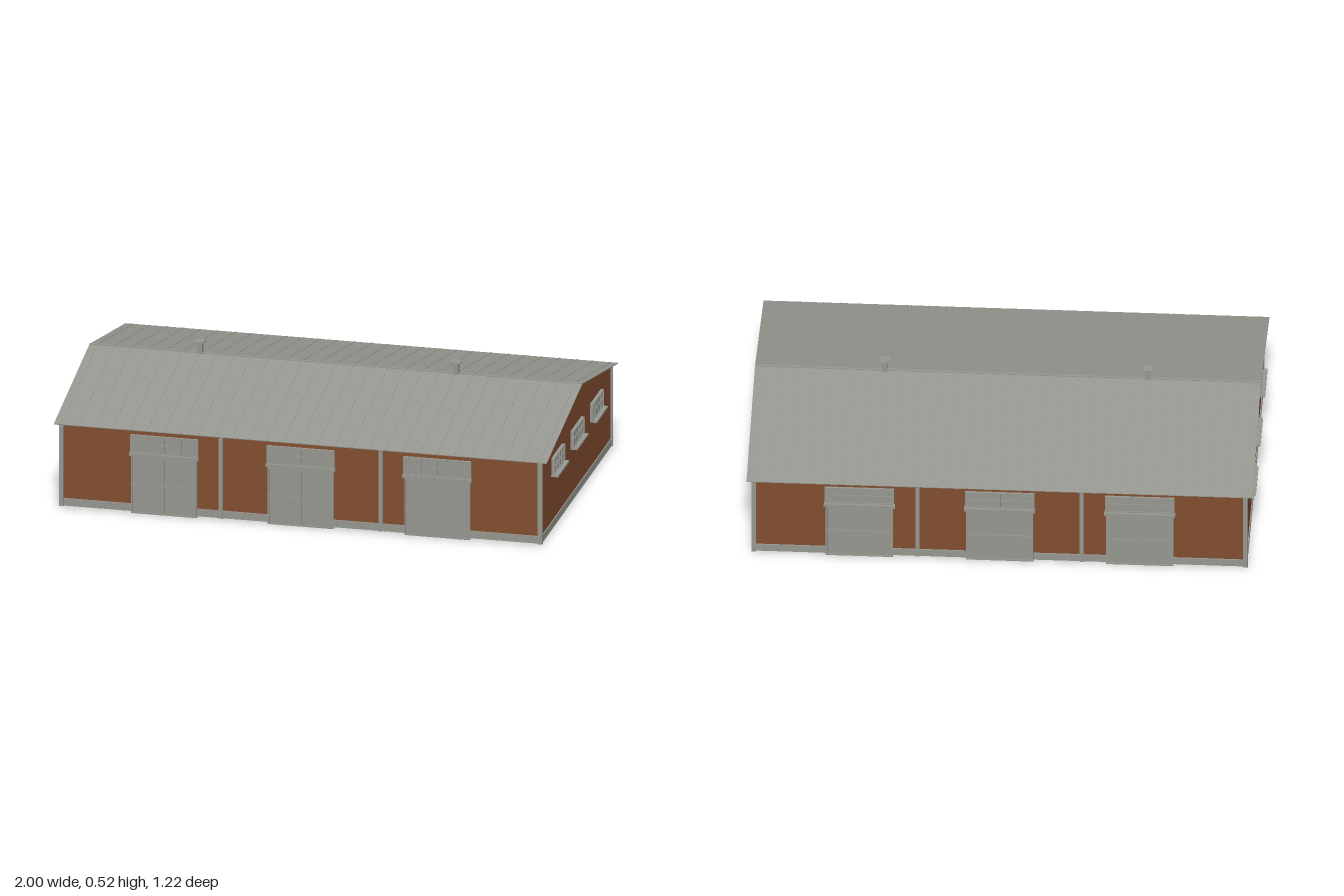
import * as THREE from 'three';

const grey = new THREE.MeshStandardMaterial({ color: 0x969790 });
grey.name = 'light grey concrete and metal';
const brick = new THREE.MeshStandardMaterial({ color: 0x824d30 });
brick.name = 'brown brick';

const HALF_X = 0.97, HALF_Z = 0.59, BASE = 0.006;
const EAVE = 0.348, RIDGE = 0.472, ROOF_X = 0.996, ROOF_Z = 0.605;

function box(parent, name, w, h, d, x, y, z, mat = grey) {
  const mesh = new THREE.Mesh(new THREE.BoxGeometry(w, h, d), mat);
  mesh.name = name;
  mesh.position.set(x, y, z);
  parent.add(mesh);
  return mesh;
}

// Framed panel facing +z with its back at z = 0, split into panes by bars
function framedPanel(name, w, h, cols, rows, depth, bar) {
  const g = new THREE.Group();
  g.name = name;
  box(g, 'panes', w, h, depth * 0.6, 0, 0, depth * 0.3);
  for (let i = 0; i <= cols; i++)
    box(g, 'upright', bar, h, depth, -w / 2 + bar / 2 + (i * (w - bar)) / cols, 0, depth / 2);
  for (let j = 0; j <= rows; j++)
    box(g, 'crossbar', w, bar, depth, 0, -h / 2 + bar / 2 + (j * (h - bar)) / rows, depth / 2);
  return g;
}

// Double gate with a sliding rail and a window band above
function gate(x) {
  const g = new THREE.Group();
  g.name = 'gate';
  g.position.set(x, 0, HALF_Z);
  const leaves = framedPanel('doorLeaves', 0.265, 0.238, 2, 2, 0.01, 0.006);
  leaves.position.y = 0.119;
  const transom = framedPanel('transomWindow', 0.274, 0.074, 4, 2, 0.009, 0.005);
  transom.position.y = 0.289;
  g.add(leaves, transom);
  box(g, 'doorRail', 0.28, 0.012, 0.018, 0, 0.246, 0.009);
  return g;
}

// Long wall: gates, pilasters and plinth strips between the gates
function longSide() {
  const g = new THREE.Group();
  g.name = 'longSide';
  const gates = [-0.552, 0, 0.552];
  gates.forEach(x => g.add(gate(x)));
  for (const x of [-0.323, 0.323])
    box(g, 'pilaster', 0.016, 0.336, 0.012, x, BASE + 0.168, HALF_Z + 0.004);
  const ends = [-HALF_X, ...gates.flatMap(x => [x - 0.133, x + 0.133]), HALF_X];
  for (let i = 0; i < ends.length; i += 2)
    box(g, 'plinth', ends[i + 1] - ends[i], 0.03, 0.008,
      (ends[i] + ends[i + 1]) / 2, BASE + 0.016, HALF_Z + 0.002);
  return g;
}

// Gable wall details, built facing +z and turned to the side
function gableSide() {
  const g = new THREE.Group();
  g.name = 'gableSide';
  for (const x of [-0.327, 0, 0.327]) {
    const win = framedPanel('sideWindow', 0.18, 0.074, 4, 2, 0.014, 0.005);
    win.position.set(x, 0.265, HALF_X);
    box(win, 'sill', 0.186, 0.007, 0.029, 0, -0.036, 0.0145);
    g.add(win);
  }
  box(g, 'plinth', HALF_Z * 2, 0.03, 0.008, 0, BASE + 0.016, HALF_X);
  return g;
}

export function createModel() {
  const model = new THREE.Group();
  model.name = 'warehouse';

  // Brick body: gable outline extruded along x
  const outline = new THREE.Shape([
    [-HALF_Z, BASE], [HALF_Z, BASE], [HALF_Z, 0.344], [0, 0.464], [-HALF_Z, 0.344],
  ].map(p => new THREE.Vector2(...p)));
  const bodyGeo = new THREE.ExtrudeGeometry(outline, { depth: HALF_X * 2, bevelEnabled: false });
  bodyGeo.translate(0, 0, -HALF_X).rotateY(Math.PI / 2);
  const body = new THREE.Mesh(bodyGeo, brick);
  body.name = 'brickWalls';
  model.add(body);

  // Details on all four sides
  for (const turn of [0, Math.PI]) {
    const long = longSide();
    long.rotation.y = turn;
    const gable = gableSide();
    gable.rotation.y = turn + Math.PI / 2;
    model.add(long, gable);
  }

  // Corner pilasters
  for (const sx of [-1, 1]) for (const sz of [-1, 1])
    box(model, 'cornerPilaster', 0.018, 0.336, 0.016, sx * 0.968, BASE + 0.167, sz * 0.592);

  // Roof: two thin sheets with standing seams
  const rise = RIDGE - EAVE;
  const slope = Math.hypot(ROOF_Z, rise);
  for (const s of [1, -1]) {
    const sheet = new THREE.Group();
    sheet.name = 'roofSlope';
    sheet.position.set(0, (EAVE + RIDGE) / 2, (s * ROOF_Z) / 2);
    sheet.rotation.x = s * Math.atan2(rise, ROOF_Z);
    box(sheet, 'roofSheet', ROOF_X * 2, 0.003, slope, 0, -0.0015, 0);
    for (let i = -14; i <= 14; i++)
      box(sheet, 'roofSeam', 0.004, 0.002, slope, i * 0.069, 0.0005, 0);
    model.add(sheet);
  }
  box(model, 'ridgeCap', ROOF_X * 2, 0.005, 0.01, 0, RIDGE, 0);

  // Square roof vents
  for (const x of [-0.55, 0.485]) {
    const vent = new THREE.Group();
    vent.name = 'roofVent';
    vent.position.x = x;
    box(vent, 'ventShaft', 0.022, 0.055, 0.022, 0, 0.49, 0);
    box(vent, 'ventCap', 0.04, 0.006, 0.04, 0, 0.519, 0);
    model.add(vent);
  }
  return model;
}
